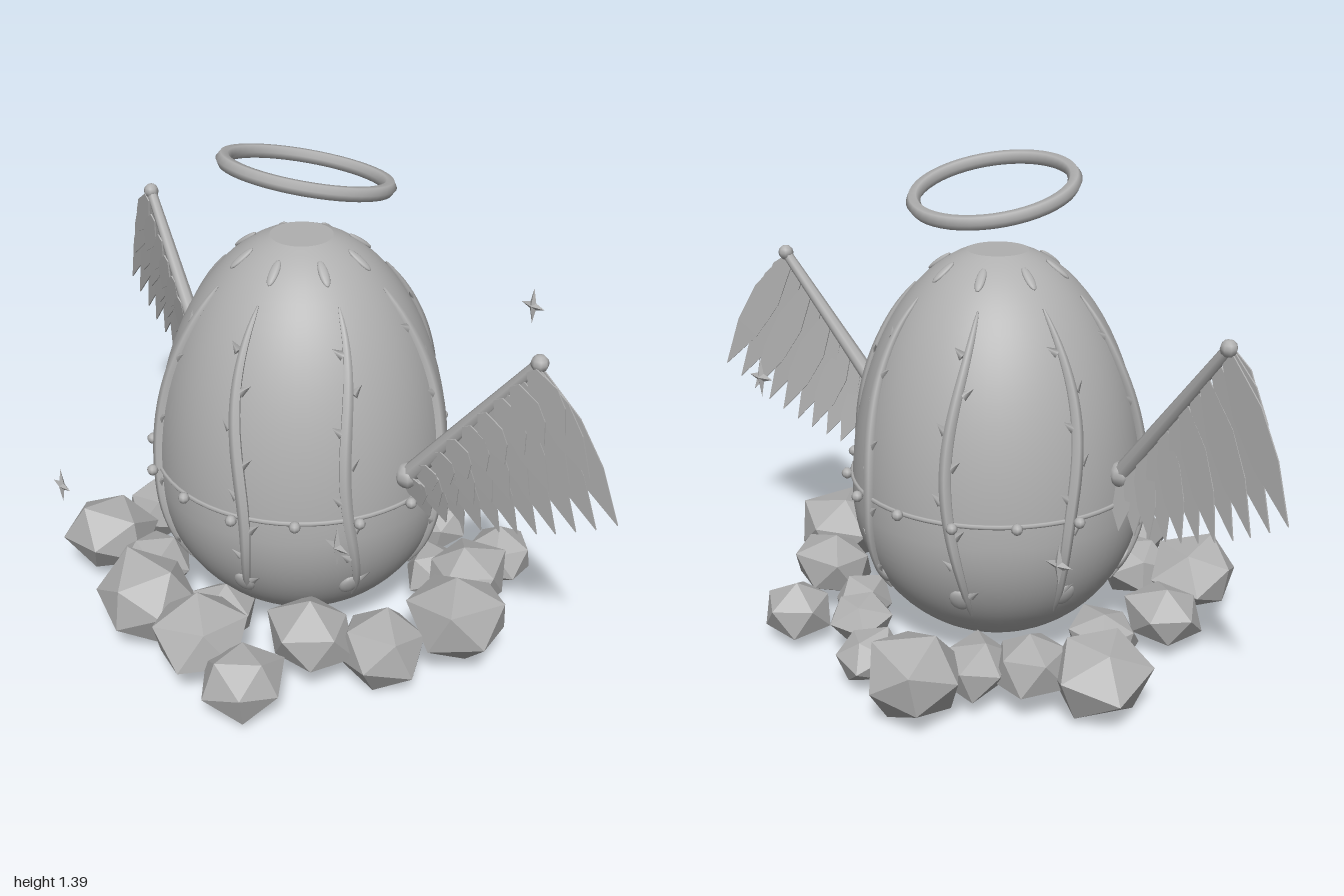
import * as THREE from 'three';

const stone = new THREE.MeshStandardMaterial({ color: 0xb0b0b0 });
stone.name = 'stone grey';
const EGG_Z = 0.04, V = (x, y, z) => new THREE.Vector3(x, y, z);

function add(parent, name, geometry, pos) {
  const m = new THREE.Mesh(geometry, stone);
  m.name = name;
  if (pos) m.position.copy(pos);
  parent.add(m);
  return m;
}

// egg radius at a height: two half ellipses meeting at the widest point
function eggRadius(y) {
  const k = (y - 0.45) / (y > 0.45 ? 0.715 : 0.43);
  return 0.418 * Math.sqrt(Math.max(0, 1 - k * k));
}
// point on the egg, angle 0 faces the front
function onEgg(a, y, lift = 0) {
  const r = eggRadius(y) + lift;
  return V(Math.sin(a) * r, y, EGG_Z + Math.cos(a) * r);
}
// lay a mesh on the egg: its y runs up the shell, its z points outward
function layOnEgg(mesh, a, y, lift, spin = 0) {
  const up = onEgg(a, y + 0.01).sub(onEgg(a, y - 0.01)).normalize();
  const side = V(Math.cos(a), 0, -Math.sin(a));
  mesh.quaternion.setFromRotationMatrix(new THREE.Matrix4().makeBasis(side, up, side.clone().cross(up)));
  mesh.rotateZ(spin);
  mesh.position.copy(onEgg(a, y, lift));
}

function buildEgg(root) {
  const egg = new THREE.Group();
  egg.name = 'egg';
  root.add(egg);
  const profile = [];
  for (let i = 0; i <= 40; i++) {
    const p = (i / 40) * (Math.PI / 2 + 1.365) - Math.PI / 2;
    const y = 0.45 + Math.sin(p) * (p > 0 ? 0.715 : 0.43);
    profile.push(new THREE.Vector2(i ? eggRadius(y) : 0, y));
  }
  const top = profile[40];
  add(egg, 'shell', new THREE.LatheGeometry(profile, 64), V(0, 0, EGG_Z));
  add(egg, 'shellTop', new THREE.CircleGeometry(top.x, 64).rotateX(-Math.PI / 2), V(0, top.y, EGG_Z));

  // belt with beads
  add(egg, 'belt', new THREE.TorusGeometry(0.417, 0.007, 6, 64).rotateX(Math.PI / 2), V(0, 0.505, EGG_Z));
  for (let i = 0; i < 16; i++)
    add(egg, 'bead', new THREE.SphereGeometry(0.016, 8, 6), onEgg(i * Math.PI / 8, 0.505, i % 2 ? 0.026 : 0.016));

  // eight tapered vines with thorns, a petal above and a foot below each
  for (let i = 0; i < 8; i++) {
    const base = (i + 0.5) * Math.PI / 4;
    const angle = t => base + 0.07 * Math.sin(5.5 * t + 2 * i);
    const height = t => 0.2 + 0.84 * t;
    const pts = [];
    for (let k = 0; k <= 12; k++) pts.push(onEgg(angle(k / 12), height(k / 12), 0.003));
    const path = new THREE.CatmullRomCurve3(pts);
    const geo = new THREE.TubeGeometry(path, 32, 0.018, 6), pos = geo.attributes.position;
    const v = V(), c = V();
    for (let n = 0; n < pos.count; n++) {
      const t = Math.floor(n / 7) / 32;
      path.getPointAt(t, c);
      v.fromBufferAttribute(pos, n).sub(c).multiplyScalar(0.15 + 0.85 * Math.pow(Math.sin(Math.PI * t), 0.6)).add(c);
      pos.setXYZ(n, v.x, v.y, v.z);
    }
    geo.computeVertexNormals();
    add(egg, 'vine', geo);
    for (let k = 1; k <= 8; k++) {
      const t = k / 9, s = k % 2 ? 1 : -1, y = height(t);
      const thorn = add(egg, 'thorn', new THREE.ConeGeometry(0.014, 0.036, 4).scale(1, 1, 0.45));
      layOnEgg(thorn, angle(t) + s * 0.026 / eggRadius(y), y, 0.005, -s * 0.9);
    }
    const petal = add(egg, 'petal', new THREE.SphereGeometry(1, 12, 8).scale(0.014, 0.04, 0.008));
    layOnEgg(petal, base, 1.105, 0.001);
    const foot = add(egg, 'vineFoot', new THREE.SphereGeometry(1, 12, 8).scale(0.03, 0.038, 0.012));
    layOnEgg(foot, base, 0.262, 0);
  }
}

// pointed feather, root at the origin, growing along +y
function featherGeometry(len, w) {
  const s = new THREE.Shape();
  s.moveTo(-w * 0.35, 0);
  s.lineTo(-w, len * 0.35);
  s.lineTo(-w * 0.85, len * 0.65);
  s.lineTo(0, len);
  s.lineTo(w * 0.85, len * 0.65);
  s.lineTo(w, len * 0.35);
  s.lineTo(w * 0.35, 0);
  return new THREE.ExtrudeGeometry(s, { depth: 0.004, bevelEnabled: false });
}

function buildWing(root, side) {
  const wing = new THREE.Group();
  wing.name = side > 0 ? 'leftWing' : 'rightWing';
  root.add(wing);
  const a = V(side * 0.42, 0.59, 0.045), b = V(side * 0.765, 1.035, -0.03);
  const dir = b.clone().sub(a);
  const bone = add(wing, 'wingBone', new THREE.CylinderGeometry(0.015, 0.026, dir.length(), 8), a.clone().lerp(b, 0.5));
  bone.quaternion.setFromUnitVectors(V(0, 1, 0), dir.clone().normalize());
  add(wing, 'wingTipKnob', new THREE.SphereGeometry(0.023, 8, 6), b);
  add(wing, 'shoulderKnob', new THREE.SphereGeometry(0.036, 8, 6), a);

  // long feathers behind, two shorter rows of coverts in front
  const rows = [[11, 1, 0.037, 0], [10, 0.68, 0.034, 0.009], [9, 0.4, 0.03, 0.018]];
  for (const [count, scale, w, lift] of rows)
    for (let i = 0; i < count; i++) {
      const t = (i + 0.3) / (count - 0.7);
      const from = a.clone().lerp(b, t * 0.97);
      const tip = V(side * (0.44 + 0.55 * t), 0.45 + 0.03 * t + 0.17 * t * t, -0.01 - 0.09 * t);
      const d = tip.sub(from);
      const len = d.length() * scale;
      d.normalize();
      const n = V(side * 0.2, 0, 1).addScaledVector(d, -V(side * 0.2, 0, 1).dot(d)).normalize();
      const f = add(wing, 'feather', featherGeometry(len, w + 0.012 * t), from);
      f.quaternion.setFromRotationMatrix(new THREE.Matrix4().makeBasis(d.clone().cross(n), d, n));
      f.position.addScaledVector(n, lift + 0.002 * (i % 2));
    }
}

// faceted rock: an icosahedron pushed in and out by a rule
function rockGeometry(r, seed) {
  const g = new THREE.IcosahedronGeometry(1, 0);
  g.rotateX(seed * 1.7).rotateY(seed * 2.3);
  const p = g.attributes.position, v = V();
  for (let i = 0; i < p.count; i++) {
    v.fromBufferAttribute(p, i);
    v.multiplyScalar(r * (1.06 + 0.12 * Math.sin(5 * v.x + 7 * v.y + 3 * v.z + seed)));
    p.setXYZ(i, v.x, v.y * 0.82, v.z);
  }
  g.computeVertexNormals();
  return g;
}

// thin four-pointed sparkle
function sparkleGeometry() {
  const pos = [], ring = [];
  for (let i = 0; i < 8; i++) {
    const a = i * Math.PI / 4, r = i % 2 ? 0.015 : i % 4 ? 0.055 : 0.042;
    ring.push([Math.cos(a) * r, Math.sin(a) * r, 0]);
  }
  for (let i = 0; i < 8; i++) {
    const p = ring[i], q = ring[(i + 1) % 8];
    pos.push(...p, ...q, 0, 0, 0.01, ...q, ...p, 0, 0, -0.01);
  }
  const g = new THREE.BufferGeometry();
  g.setAttribute('position', new THREE.Float32BufferAttribute(pos, 3));
  g.computeVertexNormals();
  return g;
}

export function createModel() {
  const root = new THREE.Group();
  root.name = 'wingedEgg';
  buildEgg(root);
  buildWing(root, 1);
  buildWing(root, -1);

  // tilted halo
  const halo = add(root, 'halo', new THREE.TorusGeometry(0.22, 0.02, 6, 48), V(0, 1.32, 0.022));
  halo.rotation.x = Math.PI / 2 - 0.235;

  // nest of rocks: x, y, z, radius
  const rocks = [
    [-0.165, 0.14, -0.53, 0.14], [0.05, 0.1, -0.47, 0.09], [0.39, 0.1, -0.4, 0.1],
    [0.18, 0.13, -0.36, 0.09], [0.44, 0.15, -0.2, 0.12], [0.57, 0.17, -0.03, 0.14],
    [0.47, 0.12, 0.18, 0.13], [0.34, 0.16, 0.32, 0.12], [0.31, 0.11, 0.54, 0.115],
    [0.12, 0.14, 0.53, 0.13], [-0.12, 0.14, 0.53, 0.145], [-0.25, 0.13, 0.4, 0.11],
    [-0.45, 0.15, 0.42, 0.13], [-0.48, 0.12, 0.2, 0.115], [-0.52, 0.13, -0.19, 0.135],
    [-0.37, 0.14, -0.28, 0.11], [-0.24, 0.12, -0.36, 0.1], [-0.4, 0.1, 0.02, 0.1],
    [0.03, 0.09, 0.38, 0.1], [0.3, 0.08, -0.22, 0.09],
  ];
  rocks.forEach(([x, y, z, r], i) => add(root, 'rock', rockGeometry(r, i + 1), V(x, y, z)));

  // floating sparkles
  for (const [x, y, z] of [[-0.45, 0.375, 0.575], [0.335, 0.865, -0.545], [0.58, 0.64, 0.455], [-0.54, 0.53, -0.405]])
    add(root, 'sparkle', sparkleGeometry(), V(x, y, z));
  return root;
}
